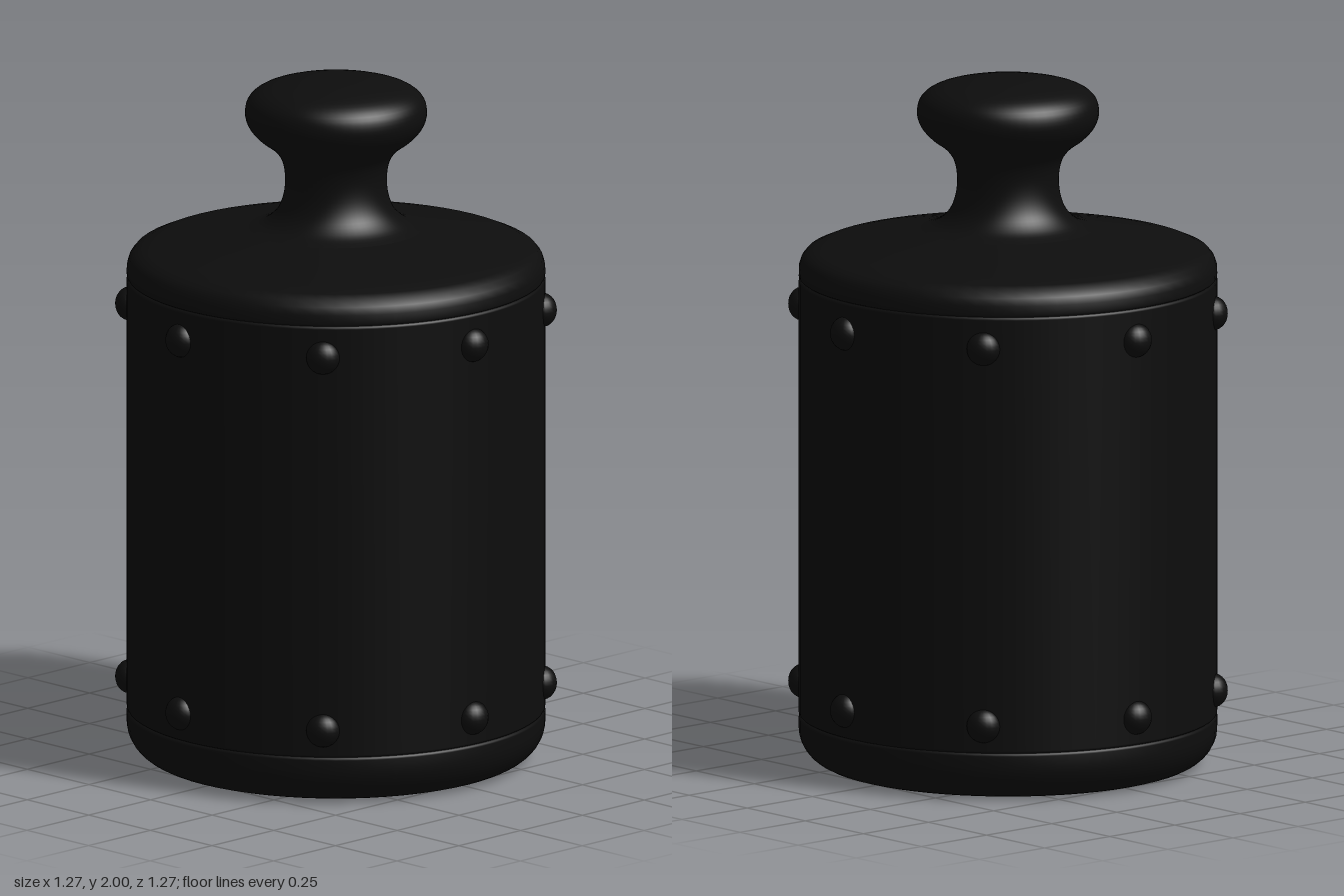
import * as THREE from 'three';

export function createModel() {
  const group = new THREE.Group();
  const blackMetal = new THREE.MeshStandardMaterial({ color: 0x0d0d0d });
  blackMetal.name = 'blackMetal';

  const vessel = new THREE.Group();
  vessel.name = 'vessel';
  vessel.position.set(-0.005, 0, 0.005);
  group.add(vessel);

  const add = (name, geometry) => {
    const mesh = new THREE.Mesh(geometry, blackMetal);
    mesh.name = name;
    vessel.add(mesh);
    return mesh;
  };
  const turn = (name, points) =>
    add(name, new THREE.LatheGeometry(points.map(([r, y]) => new THREE.Vector2(r, y)), 64));

  // Flat underside with a rounded lower rim
  const base = [[0, 0], [0.3, 0], [0.47, 0.001]];
  for (let i = 0; i <= 8; i++) {
    const a = (i / 8) * Math.PI / 2;
    base.push([0.495 + 0.105 * Math.sin(a), 0.105 - 0.105 * Math.cos(a)]);
  }
  base.push([0.6, 0.135], [0.598, 0.14], [0.593, 0.143]);
  turn('base', base);

  // Straight drum between two fine seams
  turn('body', [[0.593, 0.143], [0.598, 0.146], [0.6, 0.151], [0.6, 1.409], [0.598, 1.414], [0.593, 1.417]]);

  // Sloping lid with a rounded shoulder
  turn('lid', [[0.593, 1.417], [0.598, 1.42], [0.6, 1.425], [0.599, 1.45], [0.592, 1.472], [0.578, 1.489],
    [0.55, 1.501], [0.5, 1.512], [0.4, 1.531], [0.3, 1.55], [0.25, 1.561]]);

  // Waisted neck flowing into a mushroom knob
  const profile = new THREE.SplineCurve([[0.25, 1.561], [0.205, 1.578], [0.17, 1.61], [0.151, 1.655], [0.146, 1.71],
    [0.155, 1.76], [0.18, 1.795], [0.22, 1.825], [0.25, 1.86], [0.261, 1.9], [0.248, 1.943],
    [0.2, 1.974], [0.1, 1.995], [0, 2]].map(([r, y]) => new THREE.Vector2(r, y)));
  turn('knob', profile.getPoints(52).map((p) => [Math.max(0, p.x), Math.min(2, p.y)]));

  // Two rings of eight domed rivets
  for (const y of [0.223, 1.325]) {
    for (let i = 0; i < 8; i++) {
      const angle = THREE.MathUtils.degToRad(3.5 + i * 45);
      const rivet = add('rivet', new THREE.SphereGeometry(1, 20, 14));
      rivet.scale.set(0.042, 0.049, 0.049);
      rivet.position.set(Math.cos(angle) * 0.592, y, Math.sin(angle) * 0.592);
      rivet.rotation.y = -angle;
    }
  }
  return group;
}
